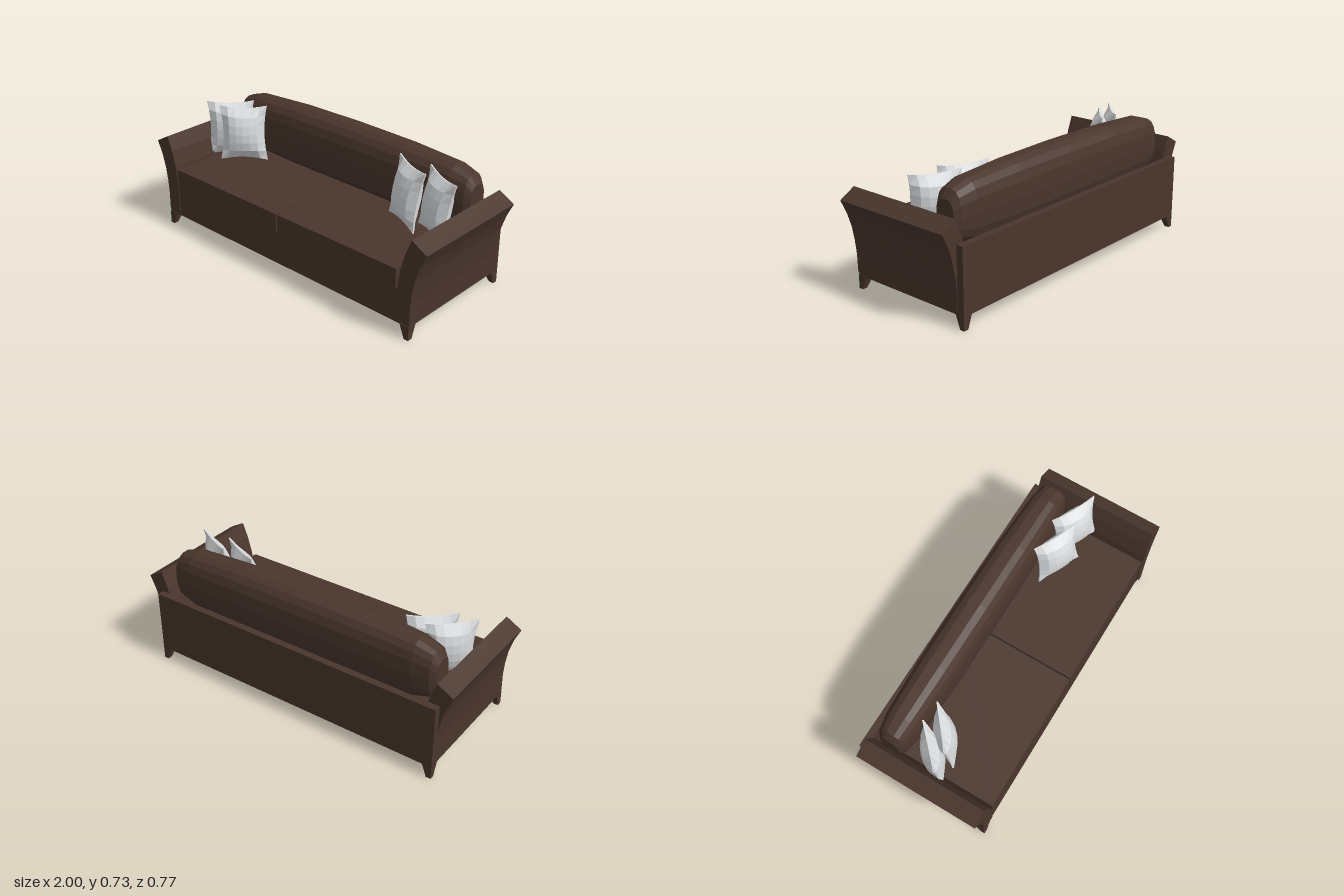
import * as THREE from 'three';

export function createModel() {
  const model = new THREE.Group();
  const brown = new THREE.MeshStandardMaterial({ color: 0x4a362d, flatShading: true });
  brown.name = 'dark brown upholstery';
  const grey = new THREE.MeshStandardMaterial({ color: 0xdcdee0, flatShading: true });
  grey.name = 'pale grey pillow';
  const CX = -0.01; // the frame sits slightly off centre

  const add = (name, geometry, material = brown) => {
    const mesh = new THREE.Mesh(geometry, material);
    mesh.name = name;
    model.add(mesh);
    return mesh;
  };
  // Box given by its limits on each axis
  const slab = (name, x0, x1, y0, y1, z0, z1) =>
    add(name, new THREE.BoxGeometry(x1 - x0, y1 - y0, z1 - z0))
      .position.set((x0 + x1) / 2, (y0 + y1) / 2, (z0 + z1) / 2);

  // Frame and seat
  slab('base', CX - 0.918, CX + 0.918, 0.075, 0.27, -0.35, 0.38);
  slab('backPanel', CX - 0.92, CX + 0.92, 0.075, 0.445, -0.385, -0.345);
  slab('seatCushionRight', -0.835, -0.014, 0.27, 0.38, -0.32, 0.385);
  slab('seatCushionLeft', -0.006, 0.818, 0.27, 0.38, -0.32, 0.385);

  // Flared arms, extruded from front to back
  const armProfile = [
    [0.92, 0.09], [0.92, 0.2], [0.927, 0.28], [0.94, 0.36], [0.964, 0.44],
    [1.0, 0.52], [0.907, 0.572], [0.873, 0.485], [0.848, 0.39], [0.835, 0.28], [0.83, 0.09],
  ];
  for (const side of [-1, 1]) {
    const points = armProfile.map(([x, y]) =>
      new THREE.Vector2(side * x + CX * Math.max(0, 1 - y / 0.5), y));
    const geometry = new THREE.ExtrudeGeometry(new THREE.Shape(points), { depth: 0.73, bevelEnabled: false });
    add(side > 0 ? 'armLeft' : 'armRight', geometry.translate(0, 0, -0.345));
  }

  // Legs: straight outside, tapered on the two inner faces
  for (const sx of [-1, 1]) {
    for (const sz of [-1, 1]) {
      const w = 0.057, foot = 0.028;
      const geometry = new THREE.BoxGeometry(w, 0.08, w);
      const p = geometry.attributes.position;
      for (let i = 0; i < p.count; i++) {
        if (p.getY(i) > 0) continue;
        if (p.getX(i) * sx < 0) p.setX(i, sx * (w / 2 - foot));
        if (p.getZ(i) * sz < 0) p.setZ(i, sz * (w / 2 - foot));
      }
      geometry.computeVertexNormals();
      add((sz > 0 ? 'front' : 'back') + 'Leg' + (sx > 0 ? 'Left' : 'Right'), geometry)
        .position.set(CX + sx * (0.92 - w / 2), 0.04, sz * (0.385 - w / 2));
    }
  }

  // Signed power, for rounded-square curves
  const spow = (v, e) => Math.sign(v) * Math.pow(Math.abs(v), e);

  // Back bolster: rounded sections [x, half depth, bottom, top] joined along x
  const half = [[0.86, 0.06, 0.44, 0.63], [0.83, 0.082, 0.4, 0.68], [0.73, 0.1, 0.37, 0.712],
    [0.4, 0.112, 0.36, 0.73]];
  const sections = [
    ...half.map(([x, ...rest]) => [-x, ...rest]),
    [0, 0.115, 0.36, 0.735],
    ...half.slice().reverse(),
  ];
  const N = 18, verts = [], faces = [];
  for (const [x, d, y0, y1] of sections) {
    for (let j = 0; j < N; j++) {
      const a = (j / N) * Math.PI * 2;
      verts.push(x - 0.005, (y0 + y1) / 2 + spow(Math.sin(a), 0.75) * (y1 - y0) / 2,
        -0.22 + spow(Math.cos(a), 0.75) * d);
    }
  }
  const last = (sections.length - 1) * N;
  for (let i = 0; i < sections.length - 1; i++) {
    for (let j = 0; j < N; j++) {
      const a = i * N + j, b = i * N + (j + 1) % N;
      faces.push(a, a + N, b, b, a + N, b + N);
    }
  }
  for (let j = 1; j < N - 1; j++) {
    faces.push(0, j, j + 1, last, last + j + 1, last + j);
  }
  const bolster = new THREE.BufferGeometry();
  bolster.setAttribute('position', new THREE.Float32BufferAttribute(verts, 3));
  // Wind the faces outward
  for (let i = 0; i < faces.length; i += 3) {
    const [a, b, c] = [0, 1, 2].map((k) => new THREE.Vector3().fromArray(verts, faces[i + k] * 3));
    const normal = b.clone().sub(a).cross(c.clone().sub(a));
    const out = a.add(b).add(c).divideScalar(3).sub(new THREE.Vector3(0, 0.548, -0.22));
    if (normal.dot(out) < 0) [faces[i + 1], faces[i + 2]] = [faces[i + 2], faces[i + 1]];
  }
  bolster.setIndex(faces);
  bolster.computeVertexNormals();
  add('backBolster', bolster);

  // Scatter pillow: a box bulged in the middle, with pinched sides and thin edges
  const pillow = new THREE.BoxGeometry(2, 2, 2, 6, 6, 1);
  const q = pillow.attributes.position;
  for (let i = 0; i < q.count; i++) {
    const u = q.getX(i), v = q.getY(i);
    const bulge = 0.004 + 0.058 * Math.pow(Math.max(0, (1 - u * u) * (1 - v * v)), 0.65);
    q.setXYZ(i, u * 0.14 * (1 - 0.13 * (1 - v * v)), v * 0.168 * (1 - 0.1 * (1 - u * u)), q.getZ(i) * bulge);
  }
  pillow.computeVertexNormals();
  const places = [[-0.785, -0.005, 0.77, -0.06], [-0.67, 0, 0.7, -0.08],
    [0.545, -0.03, -0.42, -0.17], [0.742, -0.03, -0.45, -0.17]];
  places.forEach(([x, z, turn, lean], i) => {
    const mesh = add('pillow' + (i + 1), pillow, grey);
    mesh.position.set(x, 0.545, z);
    mesh.rotation.set(lean, turn, 0, 'YXZ');
  });

  return model;
}
